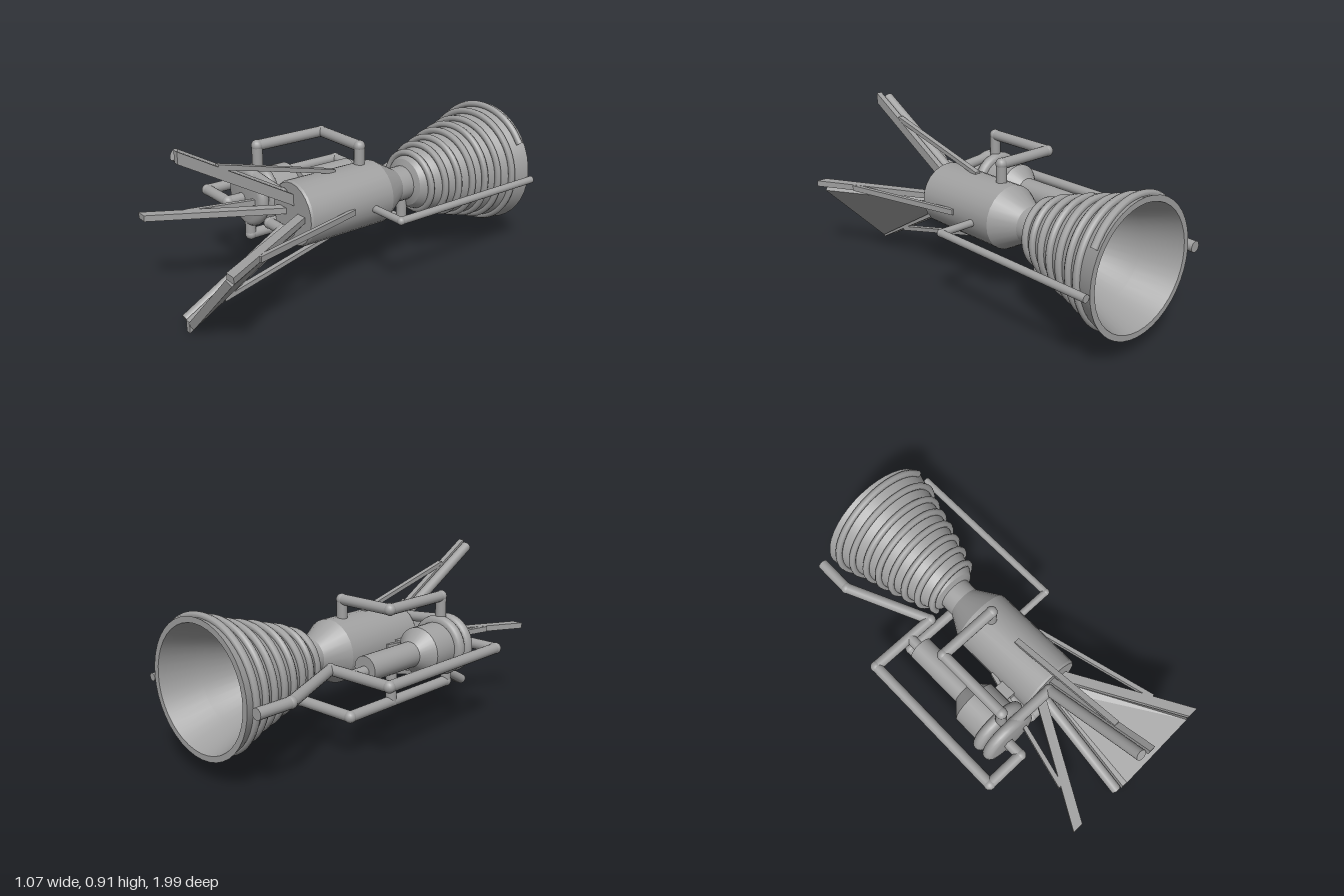
import * as THREE from 'three';
import { toCreasedNormals } from 'three/addons/utils/BufferGeometryUtils.js';
import { ConvexGeometry } from 'three/addons/geometries/ConvexGeometry.js';

const AX = 0.08, AY = 0.46; // thrust axis
const PX = -0.268; // pump axis

export function createModel() {
  const model = new THREE.Group();
  model.name = 'rocketEngine';
  const metal = new THREE.MeshStandardMaterial({ color: 0xa0a0a0 });
  metal.name = 'grey metal';

  const add = (name, geometry, parent = model) => {
    const mesh = new THREE.Mesh(geometry, metal);
    mesh.name = name;
    parent.add(mesh);
    return mesh;
  };

  // Body of revolution along z; points are [radius, z]
  const turned = (name, points, x, sides = 32) => {
    const g = new THREE.LatheGeometry(points.map(([r, z]) => new THREE.Vector2(r, z)), sides);
    g.rotateX(Math.PI / 2);
    add(name, toCreasedNormals(g, 0.5)).position.set(x, AY, 0);
  };

  // Straight pipe sections with ball joints at the bends
  const pipe = (name, points, r = 0.029) => {
    const group = new THREE.Group();
    group.name = name;
    const p = points.map((a) => new THREE.Vector3(...a));
    for (let i = 1; i < p.length; i++) {
      const dir = p[i].clone().sub(p[i - 1]);
      const m = add('pipeSection', new THREE.CylinderGeometry(r, r, dir.length(), 16), group);
      m.position.copy(p[i]).add(p[i - 1]).multiplyScalar(0.5);
      m.quaternion.setFromUnitVectors(new THREE.Vector3(0, 1, 0), dir.normalize());
      if (i < p.length - 1) {
        add('pipeJoint', new THREE.SphereGeometry(r * 1.08, 16, 10), group).position.copy(p[i]);
      }
    }
    model.add(group);
  };

  // Combustion chamber and throat
  turned('combustionChamber', [
    [0, -0.4], [0.095, -0.4], [0.095, -0.285], [0.172, -0.15], [0.172, 0.36], [0.164, 0.372], [0, 0.372],
  ], AX, 24);

  // Nozzle bell with a thick lip
  const bell = [
    [0.345, -1], [0.325, -0.94], [0.3, -0.87], [0.272, -0.8], [0.252, -0.72], [0.232, -0.645],
    [0.208, -0.57], [0.185, -0.49], [0.152, -0.405], [0.13, -0.375], [0.09, -0.36],
  ];
  turned('nozzleBell', [[0, -0.4], [0.1, -0.4], [0.16, -0.52], [0.25, -0.8], [0.315, -1], ...bell], AX, 40);

  // Cooling coil wound around the bell
  const bellRadius = (z) => {
    for (let i = 1; i < bell.length; i++) {
      const [r0, z0] = bell[i - 1], [r1, z1] = bell[i];
      if (z <= z1) return r0 + ((r1 - r0) * (z - z0)) / (z1 - z0);
    }
    return 0.1;
  };
  const coil = [], turns = 7.7, steps = 24;
  for (let i = -8; i <= turns * steps - 12; i++) {
    const t = i / steps, z = -0.405 - 0.0785 * t;
    const a = Math.PI / 2 - t * 2 * Math.PI, r = Math.max(bellRadius(z), 0.14) + 0.006;
    coil.push(new THREE.Vector3(AX + r * Math.cos(a), AY + 0.005 + r * Math.sin(a), z));
  }
  add('coolingCoil', new THREE.TubeGeometry(new THREE.CatmullRomCurve3(coil), 420, 0.019, 8));

  // Turbopump: narrow rear, wide front, two rounded collars
  turned('turbopump', [
    [0, -0.255], [0.068, -0.255], [0.068, 0.09], [0.13, 0.16], [0.13, 0.32], [0, 0.32],
  ], PX);
  for (const z of [0.336, 0.405]) {
    const rim = [];
    for (let i = 0; i <= 8; i++) {
      const a = -Math.PI / 2 + (i * Math.PI) / 8;
      rim.push([0.132 + 0.032 * Math.cos(a), z + 0.032 * Math.sin(a)]);
    }
    turned('pumpCollar', [[0, z - 0.032], ...rim, [0, z + 0.032]], PX);
  }
  add('pumpBracket', new THREE.BoxGeometry(0.12, 0.05, 0.09)).position.set(-0.11, AY, 0.228);

  // Plumbing
  pipe('upperFeedPipe', [
    [-0.263, 0.58, 0.35], [-0.263, 0.727, 0.35], [-0.263, 0.727, -0.065], [0.07, 0.727, -0.065], [0.07, 0.6, -0.065],
  ]);
  pipe('lowerFeedPipe', [
    [-0.268, 0.33, 0.405], [-0.268, 0.24, 0.405], [-0.268, 0.24, -0.36], [AX, 0.24, -0.36], [AX, 0.4, -0.36],
  ]);
  pipe('lowerBranchPipe', [[-0.268, 0.23, -0.055], [-0.268, 0.42, -0.055]]);
  pipe('outerBypassPipe', [
    [-0.29, 0.448, 0.42], [-0.29, 0.448, 0.522], [-0.506, 0.448, 0.522], [-0.506, 0.448, -0.345],
    [-0.12, 0.448, -0.345], [-0.325, 0.448, -0.8], [-0.325, 0.448, -1],
  ]);
  pipe('pumpExhaustPipe', [[PX, 0.448, -0.24], [PX, 0.448, -0.345]]);
  pipe('nozzleReturnPipe', [[0.22, 0.44, -0.03], [0.447, 0.44, -0.03], [0.447, 0.44, -1]], 0.02);
  pipe('upperInletPipe', [[-0.27, 0.59, 0.4], [0.03, 0.562, 0.4], [0.03, 0.883, 0.968]]);
  pipe('lowerInletPipe', [
    [-0.2, 0.4, 0.23], [-0.087, 0.363, 0.23], [-0.087, 0.363, 0.4], [0.03, 0.363, 0.4], [0.03, 0.043, 0.968],
  ]);

  // Four thrust legs with braces, splayed around the axis
  const slat = (points, width) => {
    const shape = new THREE.Shape(points.map(([r, z]) => new THREE.Vector2(r, z)));
    const g = new THREE.ExtrudeGeometry(shape, { depth: width, bevelEnabled: false });
    return g.translate(0, 0, -width / 2).rotateX(Math.PI / 2);
  };
  const legShape = slat([[0.045, 0.365], [0.105, 0.365], [0.456, 0.985], [0.396, 0.985]], 0.032);
  const braceShape = slat([[0.16, 0.11], [0.182, 0.11], [0.352, 0.78], [0.328, 0.785]], 0.03);
  for (let i = 0; i < 4; i++) {
    const mount = new THREE.Group();
    mount.name = 'thrustMount';
    mount.position.set(AX, AY, 0);
    mount.rotation.z = (i * Math.PI) / 2;
    add('thrustLeg', legShape, mount);
    add('legBrace', braceShape, mount);
    model.add(mount);
  }

  // Flat panel between the lower and left legs
  const face = [[0.127, 0.448, 0.37], [0.467, 0.437, 0.987], [0.083, 0.05, 0.987], [0.075, 0.415, 0.37]];
  const corners = [];
  for (const [x, y, z] of face) {
    corners.push(new THREE.Vector3(x, y, z), new THREE.Vector3(x + 0.026, y - 0.026, z - 0.016));
  }
  add('mountPanel', new ConvexGeometry(corners));

  return model;
}
